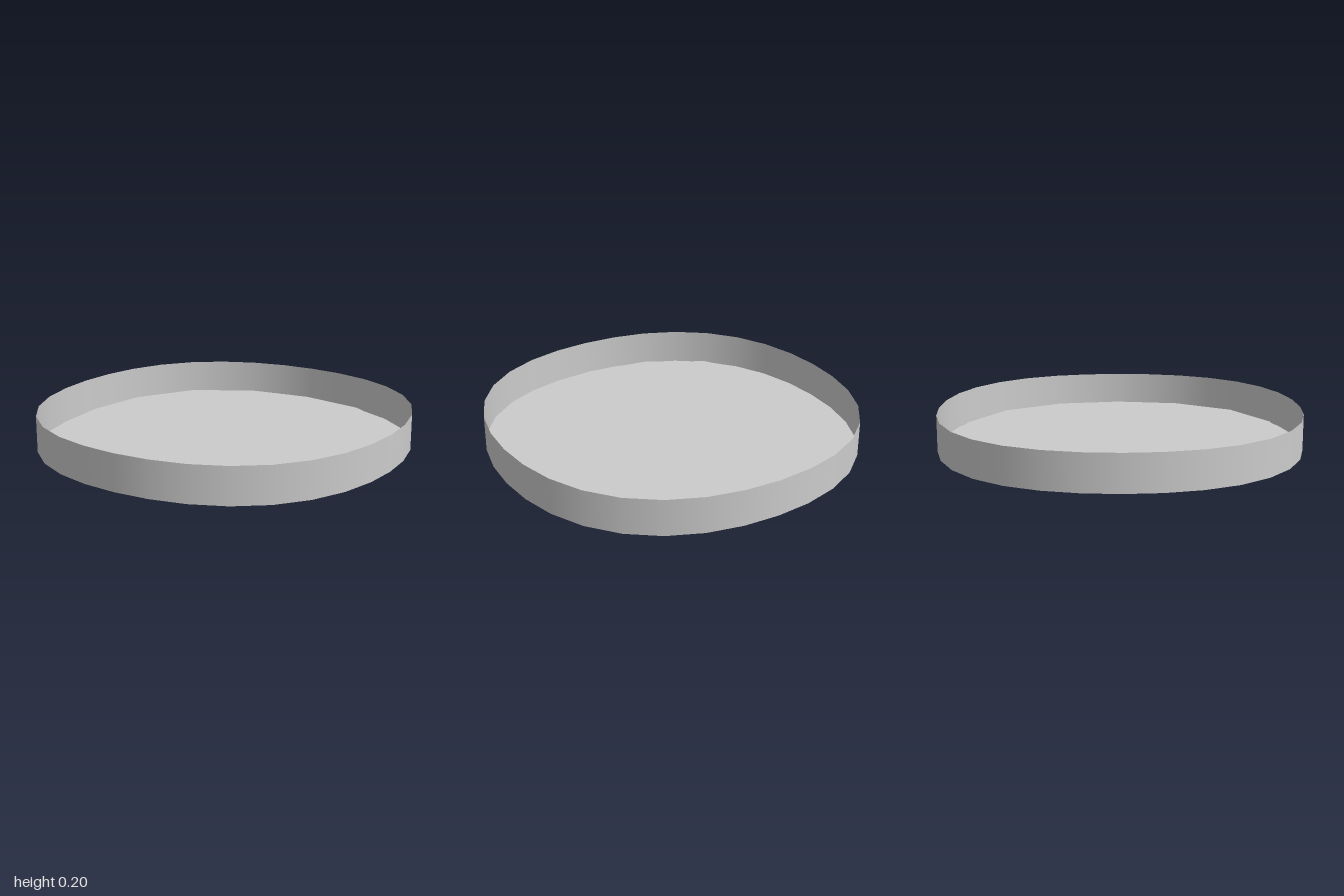
import * as THREE from 'three';

const HEIGHT = 0.2, LIP = 0.03, HOLE = 0.893, PLATE = 0.945;

// Swells a round outline by a few percent on its diagonals
function squareOff(geometry) {
  const p = geometry.attributes.position;
  for (let i = 0; i < p.count; i++) {
    const x = p.getX(i), z = p.getZ(i);
    const s = 1 + 0.037 * Math.sin(2 * Math.atan2(x, z)) ** 2;
    p.setX(i, x * s);
    p.setZ(i, z * s);
  }
  return geometry;
}

export function createModel() {
  const group = new THREE.Group();
  group.name = 'shallowTray';
  const material = new THREE.MeshStandardMaterial({ color: 0xcccccc, side: THREE.DoubleSide });

  const add = (name, geometry) => {
    const mesh = new THREE.Mesh(squareOff(geometry), material);
    mesh.name = name;
    group.add(mesh);
  };
  // Thin band swept around the tray between two [radius, height] points
  const band = (a, b) =>
    new THREE.LatheGeometry([new THREE.Vector2(...a), new THREE.Vector2(...b)], 32);

  // Upright side, flat rim below it and the small lip around the opening
  add('sideWall', band([1, 0], [1, HEIGHT]));
  add('bottomRim', band([HOLE, 0], [1, 0]));
  add('openingLip', band([HOLE, LIP], [HOLE, 0]));

  // Coarser plate resting on the lip
  const plate = new THREE.CircleGeometry(PLATE, 16);
  plate.rotateX(-Math.PI / 2).translate(0, LIP, 0);
  add('floorPlate', plate);

  return group;
}
